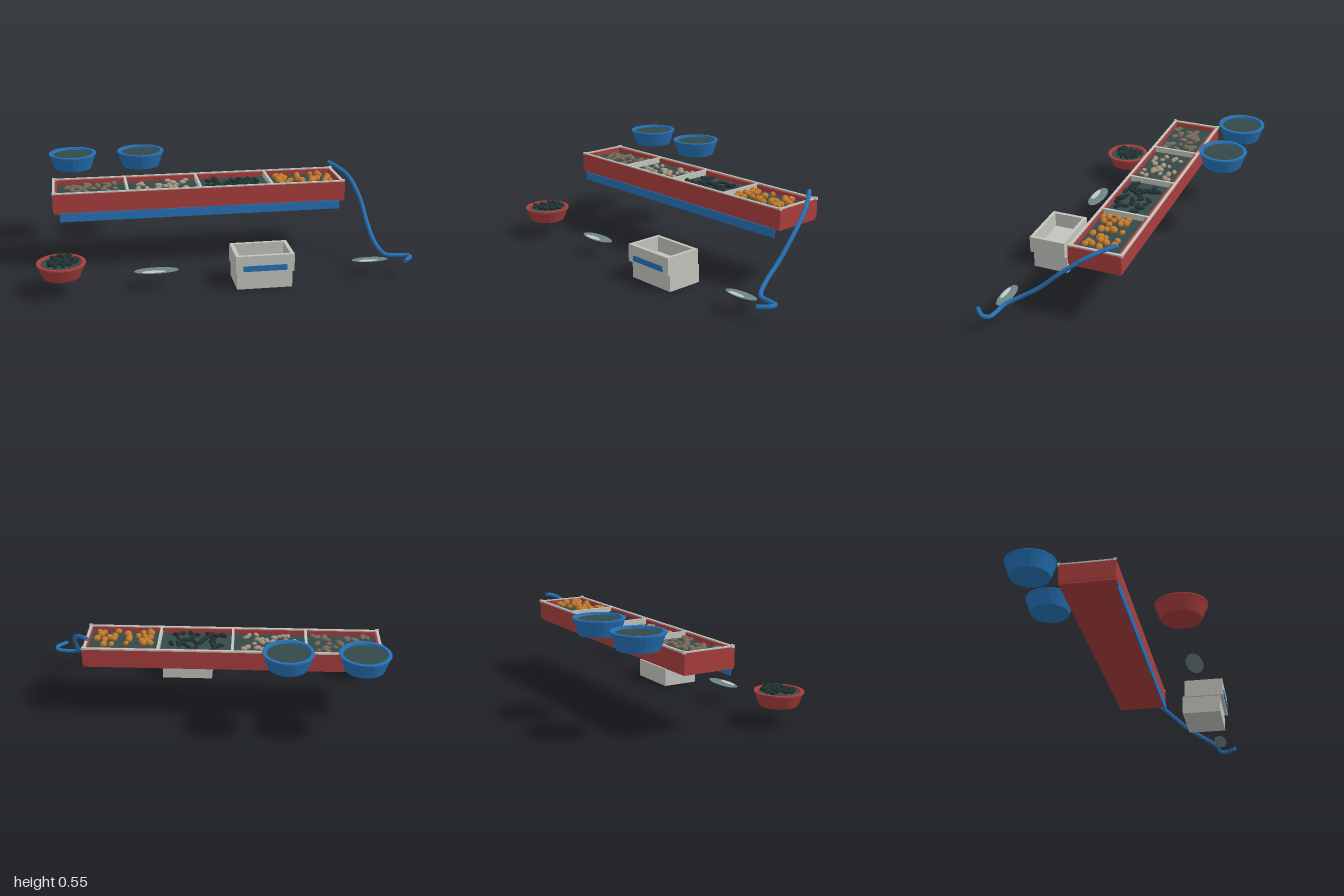
import * as THREE from 'three';

const mat = (name, color, side = THREE.FrontSide, flatShading = false) => {
  const m = new THREE.MeshStandardMaterial({ color, side, flatShading });
  m.name = name;
  return m;
};

export function createModel() {
  const root = new THREE.Group();
  const red = mat('red', 0xa83e3c);
  const blue = mat('blue', 0x2571b5);
  const grey = mat('pale grey', 0xc1c3bd);
  const water = mat('dark water', 0x34494a, THREE.DoubleSide);
  const taupe = mat('taupe', 0x75685a);
  const beige = mat('beige', 0xa79480);
  const dark = mat('charcoal', 0x213030);
  const orange = mat('orange', 0xc47a2e);
  const puddleMat = mat('puddle', 0x6f8583, THREE.DoubleSide);
  const glint = mat('glint', 0xbfcbc8);

  let seed = 7;
  const rand = () => (seed = (seed * 16807) % 2147483647) / 2147483647;

  const add = (name, geo, material, x = 0, y = 0, z = 0, parent = root) => {
    const m = new THREE.Mesh(geo, material);
    m.name = name;
    m.position.set(x, y, z);
    parent.add(m);
    return m;
  };
  // Box given by its limits on each axis
  const box = (name, material, x0, x1, y0, y1, z0, z1, parent = root) =>
    add(name, new THREE.BoxGeometry(x1 - x0, y1 - y0, z1 - z0), material,
      (x0 + x1) / 2, (y0 + y1) / 2, (z0 + z1) / 2, parent);
  const group = (name) => {
    const g = new THREE.Group();
    g.name = name;
    root.add(g);
    return g;
  };

  // Four walls around a rectangle
  const walls = (name, material, x0, x1, y0, y1, z0, z1, t, parent) => {
    box(name + 'Back', material, x0, x1, y0, y1, z0, z0 + t, parent);
    box(name + 'Front', material, x0, x1, y0, y1, z1 - t, z1, parent);
    box(name + 'Right', material, x0, x0 + t, y0, y1, z0 + t, z1 - t, parent);
    box(name + 'Left', material, x1 - t, x1, y0, y1, z0 + t, z1 - t, parent);
  };

  // Scattered shellfish: flattened ellipsoids turned at random
  const scatter = (name, material, n, place, size, y, parent) => {
    const geo = new THREE.SphereGeometry(1, 10, 7);
    const spots = [];
    for (let tries = 0; spots.length < n && tries < 900; tries++) {
      const p = place();
      if (spots.some((s) => Math.hypot(s[0] - p[0], s[1] - p[1]) < size[2] * 1.5)) continue;
      spots.push(p);
      const m = add(name, geo, material, p[0], y + rand() * 0.006, p[1], parent);
      const k = 0.8 + rand() * 0.35;
      m.scale.set(size[0] * k, size[1] * k, size[2] * k);
      m.rotation.set((rand() - 0.5) * 0.5, rand() * Math.PI, (rand() - 0.5) * 0.5);
    }
  };

  // Long trough with a pale rim and dividers
  const trough = group('trough');
  box('troughBase', red, -0.9, 0.705, 0.33, 0.345, -0.205, 0.078, trough);
  walls('troughWall', red, -0.905, 0.71, 0.345, 0.44, -0.208, 0.08, 0.025, trough);
  box('troughWater', water, -0.88, 0.685, 0.345, 0.415, -0.183, 0.055, trough);
  walls('rim', grey, -0.905, 0.704, 0.437, 0.446, -0.212, 0.076, 0.014, trough);
  for (const x of [-0.5, -0.1, 0.3]) {
    box('divider', grey, x - 0.007, x + 0.007, 0.345, 0.446, -0.2, 0.066, trough);
  }
  for (const x of [-0.897, 0.7]) {
    for (const z of [-0.206, 0.071]) {
      box('cornerCap', grey, x - 0.01, x + 0.01, 0.436, 0.45, z - 0.008, z + 0.008, trough);
    }
  }
  box('skirt', blue, -0.87, 0.68, 0.288, 0.336, 0.082, 0.088, trough);

  // Catch in each compartment
  const bay = (x) => () => [x + (rand() - 0.5) * 0.3, -0.055 + (rand() - 0.5) * 0.18];
  const catchGroup = group('catch');
  scatter('clam', taupe, 24, bay(-0.69), [0.025, 0.011, 0.016], 0.421, catchGroup);
  scatter('cockle', beige, 24, bay(-0.3), [0.019, 0.011, 0.014], 0.421, catchGroup);
  scatter('mussel', dark, 25, bay(0.1), [0.029, 0.012, 0.013], 0.423, catchGroup);
  scatter('whelk', orange, 25, bay(0.5), [0.021, 0.017, 0.018], 0.43, catchGroup);

  // Round tubs: tapered outside, rolled lip, filled inside
  const tub = (name, material, x, y, z, r0, r1, h, level) => {
    const g = group(name);
    g.position.set(x, y, z);
    const profile = [[0, 0], [r0, 0], [r1 - 0.004, h - 0.01], [r1, h - 0.008], [r1, h],
      [r1 - 0.018, h], [r1 - 0.024, level - 0.005]].map((p) => new THREE.Vector2(...p));
    const shell = mat(material.name, 0, THREE.DoubleSide, true);
    shell.color.copy(material.color);
    add('shell', new THREE.LatheGeometry(profile, 24).toNonIndexed(), shellOf(material, shell), 0, 0, 0, g);
    add('fill', new THREE.CircleGeometry(r1 - 0.018, 24).rotateX(-Math.PI / 2), water, 0, level, 0, g);
    return g;
  };
  // One flat-shaded tub material for each colour
  const shells = new Map();
  const shellOf = (key, made) => {
    if (!shells.has(key)) shells.set(key, made);
    return shells.get(key);
  };
  for (const x of [-0.785, -0.393]) tub('blueTub', blue, x, 0.458, -0.387, 0.106, 0.135, 0.087, 0.075);
  const bowl = tub('redBowl', red, -0.872, 0.1, 0.385, 0.096, 0.127, 0.075, 0.066);
  const disc = () => {
    const a = rand() * Math.PI * 2, r = Math.sqrt(rand()) * 0.082;
    return [Math.cos(a) * r, Math.sin(a) * r];
  };
  scatter('mussel', dark, 24, disc, [0.025, 0.011, 0.012], 0.077, bowl);

  // Stacked crate with an open upper box
  const crate = group('crate');
  box('lowerCrate', grey, 0.03, 0.325, 0, 0.1, 0.27, 0.476, crate);
  box('upperFloor', grey, 0.022, 0.329, 0.094, 0.106, 0.286, 0.492, crate);
  walls('upperWall', grey, 0.02, 0.331, 0.094, 0.19, 0.284, 0.494, 0.02, crate);
  box('crateBand', blue, 0.06, 0.291, 0.106, 0.136, 0.494, 0.499, crate);

  // Thin puddles, each with a light patch
  const puddle = (x, z, rx, rz, gx, gz) => {
    const flat = (r1, r2) => new THREE.CircleGeometry(1, 32).rotateX(-Math.PI / 2).scale(r1, 1, r2);
    add('puddle', flat(rx, rz), puddleMat, x, 0.1, z);
    add('puddleGlint', flat(rx * 0.52, rz * 0.36), glint, x + gx, 0.102, z + gz);
  };
  puddle(-0.383, 0.388, 0.118, 0.044, -0.016, 0.021);
  puddle(0.765, 0.41, 0.1, 0.036, -0.015, 0.017);

  // Hose falling from the trough to the ground
  const path = new THREE.CatmullRomCurve3([
    [0.682, 0.485, -0.177], [0.725, 0.466, -0.115], [0.765, 0.435, -0.05], [0.8, 0.345, 0.07], [0.813, 0.225, 0.2],
    [0.825, 0.155, 0.3], [0.86, 0.112, 0.375], [0.93, 0.106, 0.388], [0.977, 0.108, 0.4],
    [0.983, 0.11, 0.432], [0.935, 0.11, 0.487],
  ].map((p) => new THREE.Vector3(...p)));
  add('hose', new THREE.TubeGeometry(path, 90, 0.0115, 10), blue);
  for (const [t, turn] of [[0, -1], [1, 1]]) {
    const cap = add('hoseEnd', new THREE.CircleGeometry(0.0115, 10), blue);
    cap.position.copy(path.getPoint(t));
    cap.lookAt(path.getPoint(t).addScaledVector(path.getTangent(t), turn));
  }
  return root;
}
